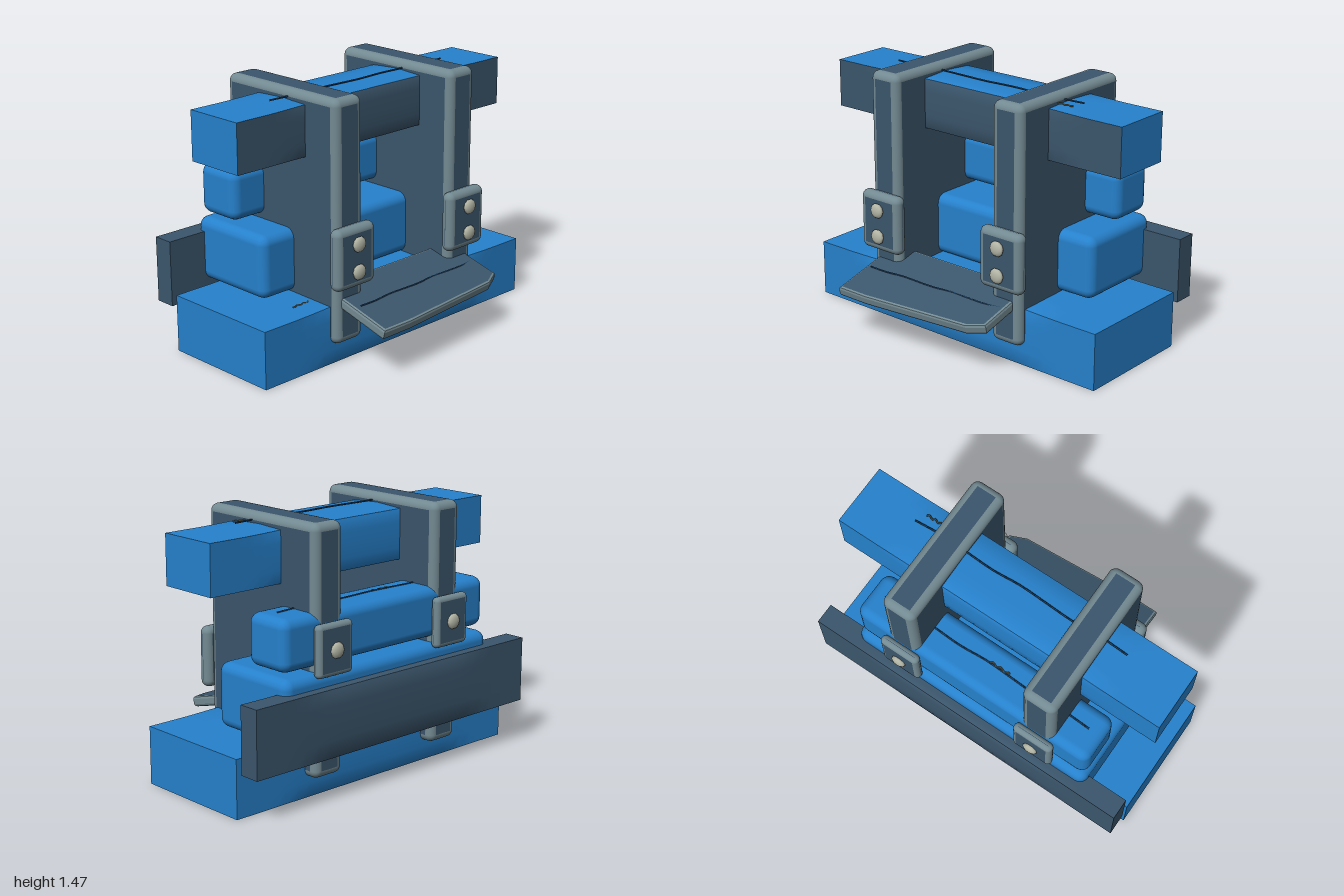
import * as THREE from 'three';
import { RoundedBoxGeometry } from 'three/addons/geometries/RoundedBoxGeometry.js';

const mat = (name, color) => Object.assign(new THREE.MeshStandardMaterial({ color }), { name });

export function createModel() {
  const model = new THREE.Group();
  const blue = mat('bright blue', 0x2681cc);
  const navy = mat('slate navy', 0x3b566c);
  const steel = mat('steel edge', 0x738a92);
  const bolt = mat('pale bolt', 0xb6b8a8);
  const crackDark = mat('crack navy', 0x1f4468);
  const chipOlive = mat('olive chip', 0x6c6a50);

  const add = (name, geometry, material, x = 0, y = 0, z = 0) => {
    const mesh = new THREE.Mesh(geometry, material);
    mesh.name = name;
    mesh.position.set(x, y, z);
    model.add(mesh);
    return mesh;
  };

  // Long beam: sharp square ends, slightly bulged and softened middle
  const beam = (name, material, y0, y1, z0, z1, bulge) => {
    const h = y1 - y0, d = z1 - z0;
    const geo = new THREE.BoxGeometry(2, h, d, 24, 4, 4);
    const p = geo.attributes.position, n = geo.attributes.normal;
    const v = new THREE.Vector3(), soft = new THREE.Vector3();
    for (let i = 0; i < p.count; i++) {
      const x = p.getX(i), y = p.getY(i), z = p.getZ(i);
      const w = 1 - THREE.MathUtils.smoothstep(Math.abs(x), 0.4, 0.8);
      v.fromBufferAttribute(n, i);
      if (Math.abs(v.x) < 0.5) {
        soft.set(0, (2 * y / h) ** 3, (2 * z / d) ** 3);
        v.lerp(soft, w * 0.4).normalize();
        n.setXYZ(i, v.x, v.y, v.z);
      }
      if (y > 0) p.setY(i, y + bulge * w * (2 * y / h) * (1 - 0.6 * Math.abs(2 * z / d)));
    }
    return add(name, geo, material, 0, (y0 + y1) / 2, (z0 + z1) / 2);
  };

  // Rounded block; with an edge material, the flat faces and rounded edges differ
  const block = (name, x, y0, y1, z0, z1, width, radius, face, edge) => {
    const geo = new RoundedBoxGeometry(width, y1 - y0, z1 - z0, 3, radius);
    let material = face;
    if (edge) {
      const n = geo.attributes.normal;
      geo.clearGroups();
      let start = 0, last = -1;
      for (let i = 0; i <= n.count; i += 3) {
        let kind = -1;
        if (i < n.count) {
          kind = 0;
          for (let k = i; k < i + 3; k++) {
            if (Math.max(Math.abs(n.getX(k)), Math.abs(n.getY(k)), Math.abs(n.getZ(k))) < 0.999) kind = 1;
          }
        }
        if (kind !== last) {
          if (last >= 0) geo.addGroup(start, i - start, last);
          start = i;
          last = kind;
        }
      }
      material = [face, edge];
    }
    return add(name, geo, material, x, (y0 + y1) / 2, (z0 + z1) / 2);
  };

  // Beams
  beam('baseBeam', blue, 0, 0.325, -0.47, 0.25, 0.018);
  beam('topBeam', [blue, blue, blue, blue, navy, blue], 1.125, 1.402, -0.29, 0.07, 0.018);
  beam('backBoard', navy, 0.25, 0.622, -0.63, -0.51, 0);

  // Stacked rounded blocks
  block('lowerBlock', 0, 0.34, 0.7, -0.575, -0.03, 1.52, 0.055, blue);
  block('upperBlock', 0, 0.725, 1.01, -0.55, -0.265, 1.5, 0.055, blue);

  // Upright slabs with bolted plates, mirrored left and right
  const boltGeo = new THREE.SphereGeometry(0.045, 10, 6).rotateX(Math.PI / 2).scale(1, 1, 0.45);
  for (const side of [-1, 1]) {
    const x = side * 0.435;
    block('uprightSlab', x, 0.115, 1.47, -0.55, 0.3, 0.2, 0.042, navy, steel);
    block('frontPlate', x, 0.44, 0.785, 0.275, 0.355, 0.285, 0.038, navy, steel);
    block('backPlate', x, 0.675, 0.96, -0.605, -0.55, 0.245, 0.026, navy, steel);
    for (const y of [0.535, 0.69]) add('frontBolt', boltGeo, bolt, x, y, 0.37);
    add('backBolt', boltGeo, bolt, x, 0.815, -0.61);
  }

  // Sloping front shelf with a chipped corner and bevelled rim
  const slope = 0.262;
  const outline = [[-0.485, 0.18], [0.475, 0.18], [0.475, 0.53], [0.385, 0.575], [-0.3, 0.625], [-0.485, 0.625]];
  const shelfGeo = new THREE.ExtrudeGeometry(
    new THREE.Shape(outline.map(([x, v]) => new THREE.Vector2(x, v))),
    { depth: 0.03, bevelThickness: 0.015, bevelSize: 0.015, bevelSegments: 2 });
  shelfGeo.rotateX(Math.PI / 2);
  add('shelf', shelfGeo, [navy, steel], 0, 0.445, 0).rotation.x = slope;

  // Thin wavering surface cracks
  const crack = (name, material, x0, x1, y, z, drift = 0) => {
    const pts = [];
    for (let i = 0; i <= 8; i++) {
      const t = i / 8;
      pts.push(new THREE.Vector3(x0 + (x1 - x0) * t, 0, drift * t + 0.006 * Math.sin(i * 2.1)));
    }
    const geo = new THREE.TubeGeometry(new THREE.CatmullRomCurve3(pts), 24, 0.005, 4);
    return add(name, geo, material, 0, y, z);
  };
  crack('topBeamCrack', crackDark, -0.66, 0.66, 1.428, -0.067);
  crack('upperBlockCrack', crackDark, -0.66, 0.66, 1.012, -0.39);
  crack('shelfCrack', crackDark, -0.46, 0.46, 0.461, 0.40, -0.03).position.y = 0.358;
  crack('topBeamChip', chipOlive, 0.53, 0.63, 1.42, -0.01);
  crack('upperBlockChip', chipOlive, -0.15, -0.02, 1.012, -0.38);
  crack('baseBeamChip', chipOlive, -0.68, -0.56, 0.33, 0.11);

  return model;
}
